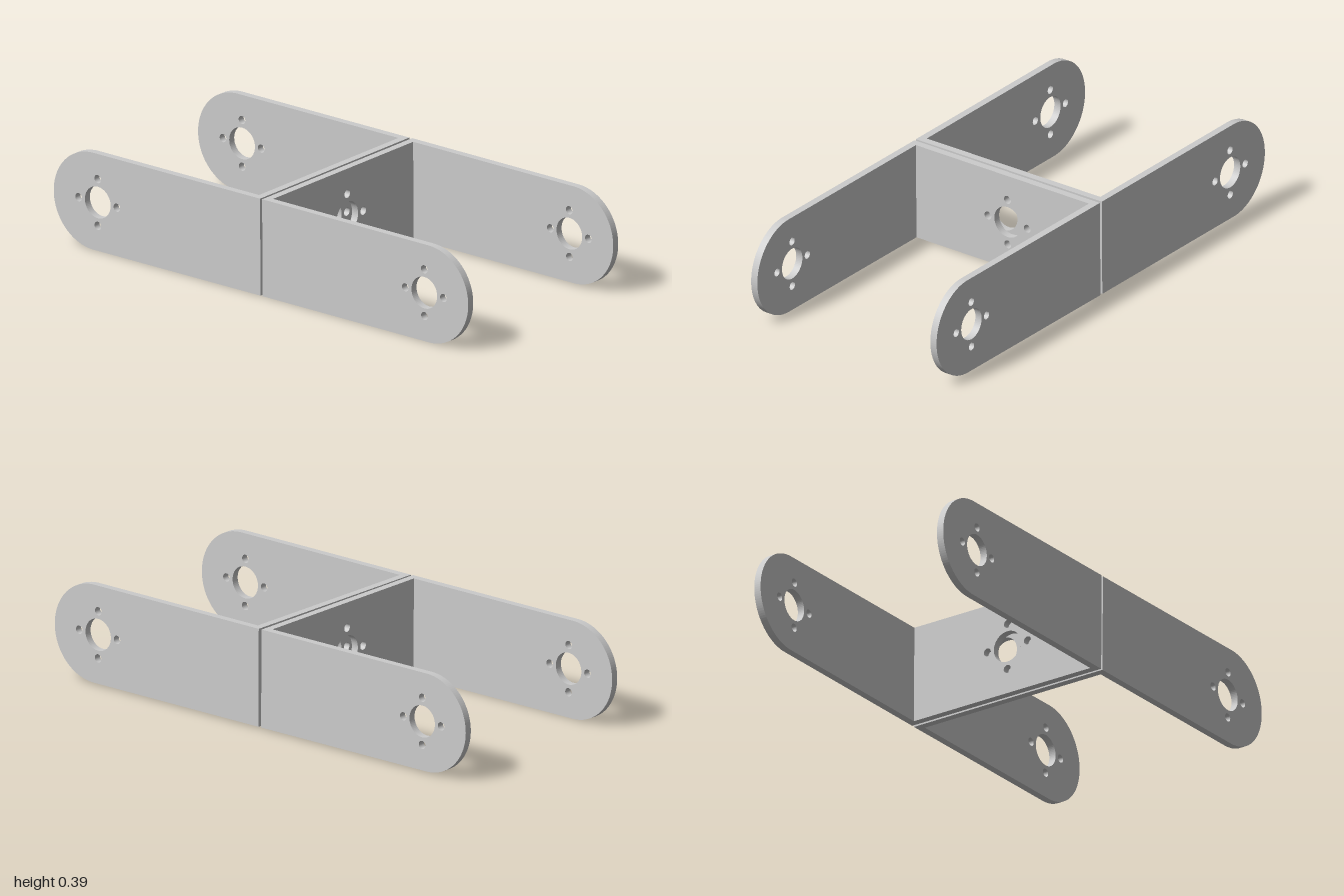
import * as THREE from 'three';

const W = 0.868, H = 0.382, T = 0.029, L = 0.995; // bracket width, height, sheet thickness, arm length
const R = H / 2;
const material = new THREE.MeshStandardMaterial({ color: 0xcccccc });

// Large bore surrounded by four screw holes
function addHoles(shape, cx) {
  const circle = (x, y, r) => shape.holes.push(new THREE.Path().absarc(x, y, r, 0, Math.PI * 2, true));
  circle(cx, 0, 0.062);
  for (let i = 0; i < 4; i++) {
    const a = i * Math.PI / 2;
    circle(cx + 0.092 * Math.cos(a), 0.092 * Math.sin(a), 0.016);
  }
  return shape;
}

function plate(shape, name) {
  const geometry = new THREE.ExtrudeGeometry(shape, { depth: T, bevelEnabled: false, curveSegments: 32 });
  const mesh = new THREE.Mesh(geometry, material);
  mesh.name = name;
  return mesh;
}

// U-shaped bracket: web at z = 0, arms reaching towards +z
function bracket(name) {
  const group = new THREE.Group();
  group.name = name;

  // Web between the arms
  const half = W / 2 - T;
  const webShape = new THREE.Shape();
  webShape.moveTo(-half, -R).lineTo(half, -R).lineTo(half, R).lineTo(-half, R).closePath();
  group.add(plate(addHoles(webShape, 0.023), 'web'));

  // Arms with rounded ends
  for (const side of [-1, 1]) {
    const armShape = new THREE.Shape();
    armShape.moveTo(0, -R).lineTo(L - R, -R);
    armShape.absarc(L - R, 0, R, -Math.PI / 2, Math.PI / 2, false);
    armShape.lineTo(0, R).closePath();
    const arm = plate(addHoles(armShape, 0.783), side > 0 ? 'leftArm' : 'rightArm');
    arm.rotation.y = -Math.PI / 2; // shape x runs along +z, depth along -x
    arm.position.x = side > 0 ? W / 2 : -W / 2 + T;
    group.add(arm);
  }
  return group;
}

export function createModel() {
  const model = new THREE.Group();
  model.name = 'doubleBracket';

  // Front bracket, slightly tilted
  const front = bracket('frontBracket');
  front.position.set(0.001, 0.1955, 0.005);
  front.rotation.z = 0.007;

  // Back bracket, turned round and slightly askew
  const back = bracket('backBracket');
  back.position.set(0, 0.1955, -0.006);
  back.rotation.set(0, Math.PI + 0.004, -0.006);

  model.add(front, back);
  return model;
}
